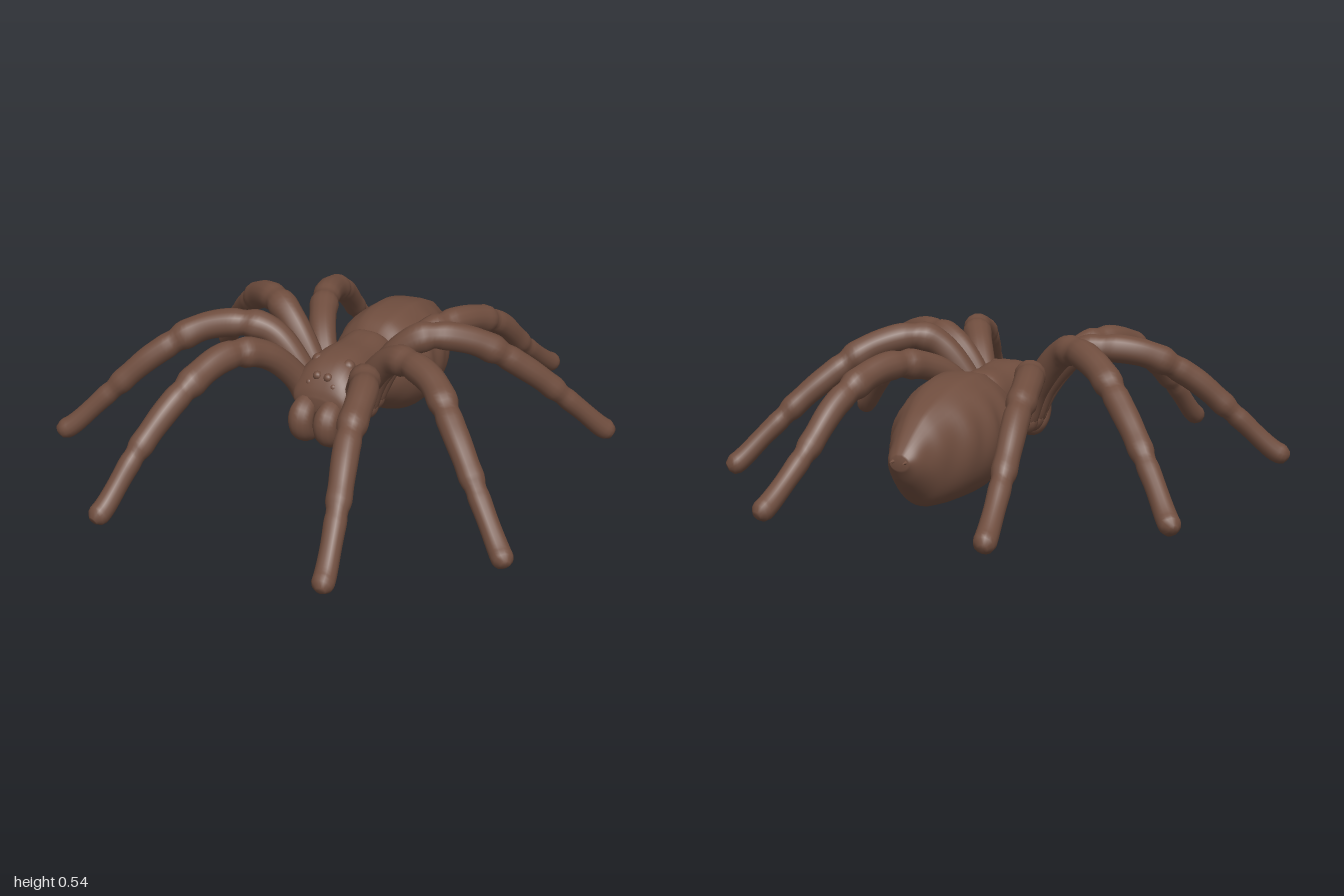
import * as THREE from 'three';

const brown = new THREE.MeshStandardMaterial({ color: 0x6f4d3e });
brown.name = 'brown';
const CX = 0.025; // midline of the body

function named(geo, name) {
  const m = new THREE.Mesh(geo, brown);
  m.name = name;
  return m;
}

// Closed skin over rings of points; point(i, a) gives a Vector3 on ring i at angle a
function skin(rings, sides, point) {
  const pos = [], idx = [];
  for (let i = 0; i < rings; i++)
    for (let j = 0; j < sides; j++) pos.push(...point(i, (j / sides) * Math.PI * 2).toArray());
  for (let i = 0; i < rings - 1; i++)
    for (let j = 0; j < sides; j++) {
      const a = i * sides + j, b = i * sides + ((j + 1) % sides), c = a + sides, d = b + sides;
      idx.push(a, b, c, b, d, c);
    }
  for (const r of [0, rings - 1]) {
    const mid = new THREE.Vector3(), k = pos.length / 3;
    for (let j = 0; j < sides; j++) mid.add(new THREE.Vector3().fromArray(pos, (r * sides + j) * 3));
    pos.push(...mid.divideScalar(sides).toArray());
    for (let j = 0; j < sides; j++) {
      const a = r * sides + j, b = r * sides + ((j + 1) % sides);
      idx.push(...(r ? [a, b, k] : [b, a, k]));
    }
  }
  const g = new THREE.BufferGeometry();
  g.setAttribute('position', new THREE.Float32BufferAttribute(pos, 3));
  g.setIndex(idx);
  g.computeVertexNormals();
  return g;
}

// Smooth value through evenly spaced samples
function smooth(list, t) {
  const f = t * (list.length - 1), i = Math.min(Math.floor(f), list.length - 2), u = f - i;
  return THREE.MathUtils.lerp(list[i], list[i + 1], u * u * (3 - 2 * u));
}

// Round limb along a curve with rounded ends
function limb(points, radius, steps, sides = 14) {
  const curve = new THREE.CatmullRomCurve3(points, false, 'centripetal');
  const frames = curve.computeFrenetFrames(steps, false), len = curve.getLength();
  return skin(steps + 1, sides, (i, a) => {
    const t = i / steps, r0 = radius(t);
    const e = Math.min(1, (Math.min(t, 1 - t) * len) / r0 + 0.1);
    const r = r0 * Math.sqrt(1 - (1 - e) ** 2);
    return curve.getPointAt(t)
      .addScaledVector(frames.normals[i], Math.cos(a) * r)
      .addScaledVector(frames.binormals[i], Math.sin(a) * r);
  });
}

// Body segment from [z, top, bottom, halfWidth] stations running back to front
function body(stations, steps, sides, detail) {
  const curves = [1, 2, 3].map(k => new THREE.CatmullRomCurve3(
    stations.map(s => new THREE.Vector3(s[0], s[k], 0)), false, 'centripetal'));
  return skin(steps + 1, sides, (i, a) => {
    const [top, bot, wide] = curves.map(c => c.getPoint(i / steps));
    const k = detail(top.x, a);
    const mid = (top.y + bot.y) / 2, h = (top.y - bot.y) / 2;
    return new THREE.Vector3(CX + Math.cos(a) * wide.y * k, mid + Math.sin(a) * h * k, top.x);
  });
}

const LEGS = [
  { name: 'frontLeg', shift: [0.008, 0.008], pts: [[-0.05, 0.19, 0.12], [-0.105, 0.31, 0.15], [-0.18, 0.425, 0.25],
    [-0.255, 0.455, 0.39], [-0.312, 0.38, 0.6], [-0.375, 0.22, 0.79], [-0.415, 0.06, 0.945], [-0.425, 0.035, 0.995]] },
  { name: 'secondLeg', shift: [-0.06, 0.07], pts: [[-0.055, 0.17, 0.075], [-0.12, 0.32, 0.09], [-0.25, 0.455, 0.105],
    [-0.45, 0.46, 0.185], [-0.62, 0.355, 0.31], [-0.78, 0.19, 0.41], [-0.91, 0.055, 0.485], [-0.95, 0.04, 0.505]] },
  { name: 'thirdLeg', shift: [-0.025, 0.03], pts: [[-0.055, 0.17, 0.025], [-0.12, 0.33, 0.015], [-0.26, 0.485, -0.035],
    [-0.42, 0.47, -0.15], [-0.6, 0.33, -0.3], [-0.75, 0.16, -0.435], [-0.84, 0.05, -0.525], [-0.868, 0.037, -0.555]] },
  { name: 'backLeg', shift: [0.018, 0], pts: [[-0.05, 0.18, -0.03], [-0.11, 0.33, -0.07], [-0.175, 0.41, -0.17],
    [-0.257, 0.435, -0.36], [-0.312, 0.355, -0.58], [-0.346, 0.2, -0.76], [-0.38, 0.058, -0.95], [-0.388, 0.036, -1]] },
];

// Leg thickness: swollen segments with pinched joints and a padded foot
function legRadius(t) {
  const base = smooth([0.052, 0.05, 0.052, 0.054, 0.051, 0.047, 0.042, 0.037, 0.04], t);
  const pinch = [0.34, 0.55, 0.78].reduce((s, j) => s + Math.exp(-(((t - j) / 0.018) ** 2)), 0);
  const swell = [0.31, 0.52, 0.75].reduce((s, j) => s + Math.exp(-(((t - j) / 0.03) ** 2)), 0);
  return base * (1 - 0.14 * pinch + 0.09 * swell);
}

export function createModel() {
  const model = new THREE.Group();
  model.name = 'spider';

  // Abdomen with soft upper side folds and a pair of ridges along the back
  model.add(named(body([
    [-0.785, 0.24, 0.19, 0.035], [-0.75, 0.275, 0.135, 0.062], [-0.69, 0.325, 0.07, 0.092],
    [-0.64, 0.36, 0.028, 0.115], [-0.55, 0.4, 0.012, 0.16], [-0.45, 0.43, 0.006, 0.188], [-0.34, 0.438, 0.008, 0.197],
    [-0.25, 0.425, 0.045, 0.185], [-0.18, 0.39, 0.085, 0.15], [-0.1, 0.36, 0.13, 0.108], [-0.02, 0.3, 0.18, 0.06],
  ], 64, 40, (z, a) => {
    const up = Math.max(0, Math.sin(a));
    const fold = 0.03 * Math.sin(z * 55) * Math.exp(-(((Math.sin(a) - 0.3) / 0.35) ** 2));
    const ridge = 0.035 * up * Math.exp(-(((Math.abs(Math.cos(a)) - 0.3) / 0.1) ** 2));
    return 1 + fold + ridge;
  }), 'abdomen'));

  // Carapace, head and breast plate
  model.add(named(body([
    [-0.19, 0.39, 0.3, 0.09], [-0.16, 0.41, 0.22, 0.103], [-0.06, 0.412, 0.16, 0.115],
    [0.04, 0.418, 0.145, 0.128], [0.12, 0.405, 0.15, 0.132], [0.175, 0.37, 0.17, 0.126],
    [0.21, 0.32, 0.2, 0.105], [0.225, 0.28, 0.23, 0.05],
  ], 36, 32, (z, a) => 1 - 0.05 * Math.max(0, Math.sin(a)) ** 30), 'carapace'));

  for (const s of [-1, 1]) {
    // Eyes on the head
    const eyes = new THREE.Group();
    eyes.name = s > 0 ? 'leftEyes' : 'rightEyes';
    for (const [x, y, z, r] of [[0.062, 0.375, 0.1, 0.026], [0.07, 0.345, 0.15, 0.019],
      [0.022, 0.353, 0.18, 0.017], [0.05, 0.325, 0.19, 0.014]]) {
      const eye = named(new THREE.SphereGeometry(r, 14, 10), 'eye');
      eye.position.set(CX + s * x, y, z);
      eyes.add(eye);
    }
    model.add(eyes);

    // Curled mouth feelers
    const curl = [[0.09, 0.23], [0.16, 0.245], [0.215, 0.24], [0.25, 0.21], [0.248, 0.17],
      [0.215, 0.143], [0.17, 0.14], [0.145, 0.165]].map(([z, y]) => new THREE.Vector3(CX + s * 0.052, y, z));
    model.add(named(limb(curl, t => smooth([0.032, 0.038, 0.047, 0.045, 0.038], t), 36),
      s > 0 ? 'leftFeeler' : 'rightFeeler'));

    // Spinnerets at the tail
    const spin = named(new THREE.ConeGeometry(0.018, 0.06, 10), s > 0 ? 'leftSpinneret' : 'rightSpinneret');
    spin.rotation.x = -Math.PI / 2;
    spin.position.set(CX + s * 0.024, 0.22, -0.778);
    model.add(spin);

    // Legs and their hip joints; the left ones land a little differently
    for (const leg of LEGS) {
      const pts = leg.pts.map(([x, y, z], i) => {
        if (s < 0) return new THREE.Vector3(x, y, z);
        const k = i / (leg.pts.length - 1);
        return new THREE.Vector3(2 * CX - x + leg.shift[0] * k, y, z + leg.shift[1] * k);
      });
      const group = new THREE.Group();
      group.name = (s > 0 ? 'left ' : 'right ') + leg.name;
      group.add(named(limb(pts, legRadius, 80), 'limb'));
      const hip = named(new THREE.SphereGeometry(0.054, 16, 12), 'hip');
      hip.position.copy(pts[0]).lerp(pts[1], 0.15);
      group.add(hip);
      model.add(group);
    }
  }
  return model;
}
